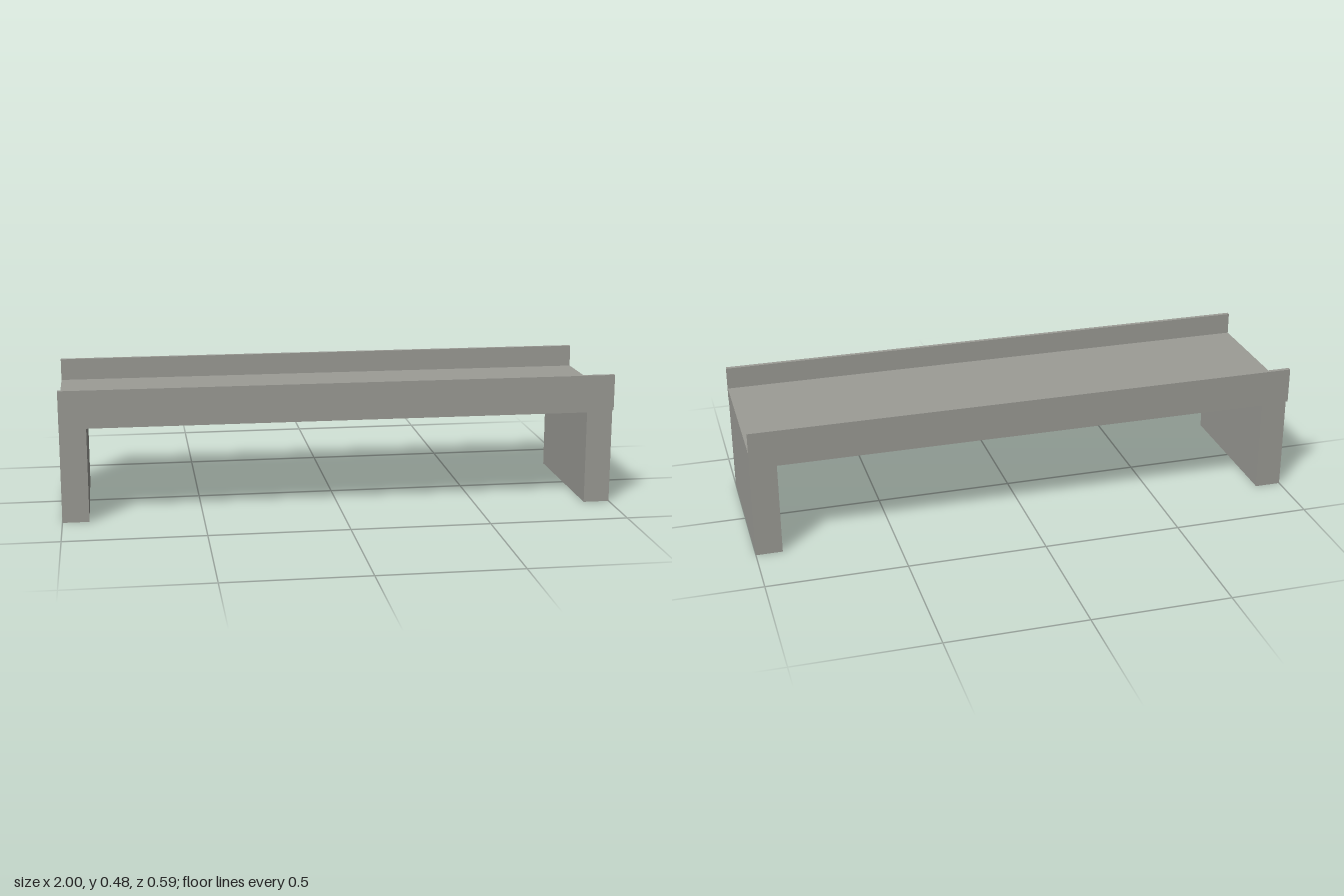
import * as THREE from 'three';

export function createModel() {
  const group = new THREE.Group();
  const concrete = new THREE.MeshStandardMaterial({ color: 0x9c9c96, side: THREE.DoubleSide });
  concrete.name = 'concrete grey';

  const halfDepth = 0.28, deckTop = 0.4, deckUnder = 0.34, legInner = 0.905;
  const add = (name, geometry, x = 0, y = 0, z = 0) => {
    const mesh = new THREE.Mesh(geometry, concrete);
    mesh.name = name;
    mesh.position.set(x, y, z);
    group.add(mesh);
  };

  // Bridge outline, counterclockwise; the feet of both legs stay open
  const outline = [
    [1, 0], [1, deckTop], [-1, deckTop], [-1, 0],
    [-legInner, 0], [-legInner, deckUnder], [legInner, deckUnder], [legInner, 0],
  ].map(([x, y]) => new THREE.Vector2(x, y));

  // Walls, deck and underside between the two side faces
  const names = ['leftEndWall', 'deck', 'rightEndWall', null,
    'rightLegInnerWall', 'deckUnderside', 'leftLegInnerWall'];
  names.forEach((name, i) => {
    if (!name) return;
    const a = outline[i], b = outline[i + 1];
    const panel = new THREE.PlaneGeometry(a.distanceTo(b), halfDepth * 2);
    panel.rotateX(-Math.PI / 2);
    panel.rotateZ(Math.atan2(b.y - a.y, b.x - a.x) - Math.PI);
    add(name, panel, (a.x + b.x) / 2, (a.y + b.y) / 2);
  });

  // Front and back faces with their parapets
  const face = new THREE.ShapeGeometry(new THREE.Shape(outline));
  for (const [side, s] of [['front', 1], ['back', -1]]) {
    const g = face.clone();
    if (s < 0) g.rotateY(Math.PI);
    add(side + 'Face', g, 0, 0, s * halfDepth);
    add(side + 'Parapet', new THREE.BoxGeometry(2, 0.13, 0.015), 0, 0.415, s * (halfDepth + 0.0075));
  }
  return group;
}
